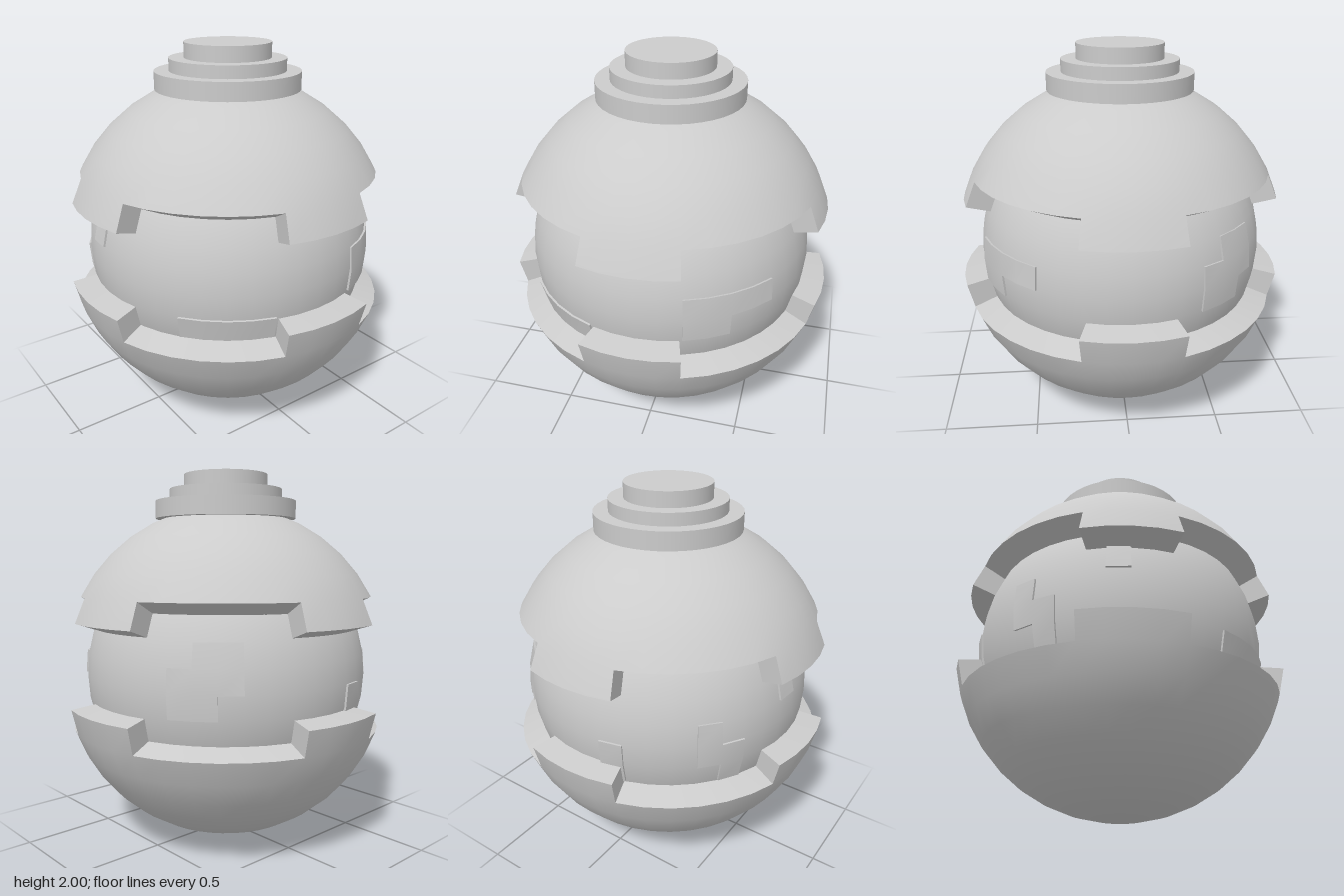
import * as THREE from 'three';
import { toCreasedNormals } from 'three/addons/utils/BufferGeometryUtils.js';

const material = new THREE.MeshStandardMaterial({ color: 0xcccccc, side: THREE.DoubleSide });
const STEP = 9; // degrees per facet

// point from azimuth (0 = front, growing to +x), latitude and radius
function polar(az, lat, r) {
  const a = THREE.MathUtils.degToRad(az), l = THREE.MathUtils.degToRad(lat);
  return new THREE.Vector3(r * Math.cos(l) * Math.sin(a), r * Math.sin(l), r * Math.cos(l) * Math.cos(a));
}

// adds a grid of quads; u x v is the outward side
function addGrid(out, nu, nv, fn) {
  const tri = (a, b, c) => {
    if (a.distanceTo(b) < 1e-5 || b.distanceTo(c) < 1e-5 || c.distanceTo(a) < 1e-5) return;
    for (const p of [a, b, c]) out.push(p.x, p.y, p.z);
  };
  for (let i = 0; i < nu; i++) {
    for (let j = 0; j < nv; j++) {
      const a = fn(i / nu, j / nv), b = fn((i + 1) / nu, j / nv);
      const c = fn((i + 1) / nu, (j + 1) / nv), d = fn(i / nu, (j + 1) / nv);
      tri(a, b, c);
      tri(a, c, d);
    }
  }
}

function makeMesh(name, geometry, y) {
  const mesh = new THREE.Mesh(geometry, material);
  mesh.name = name;
  mesh.position.y = y;
  return mesh;
}

function finish(positions) {
  const geometry = new THREE.BufferGeometry();
  geometry.setAttribute('position', new THREE.Float32BufferAttribute(positions, 3));
  return toCreasedNormals(geometry, 0.5);
}

const mix = THREE.MathUtils.lerp;

// bowl-shaped shell whose thick rim carries four tabs
function shellGeometry(notchLat, tabLat) {
  const out = [], R = 0.9, r = 0.73, half = 17;
  const skin = (a0, a1, n, l0, l1) => addGrid(out, n, Math.round((l1 - l0) / STEP),
    (u, v) => polar(mix(a0, a1, u), mix(l0, l1, v), R));
  const rim = (a0, a1, n, lat) => addGrid(out, 1, n,
    (u, v) => polar(mix(a0, a1, v), lat, mix(r, R, u)));
  for (let k = 0; k < 4; k++) {
    const a0 = k * 90 - half, a1 = k * 90 + half, a2 = (k + 1) * 90 - half;
    // tab
    skin(a0, a1, 4, -90, notchLat);
    skin(a0, a1, 4, notchLat, tabLat);
    rim(a0, a1, 4, tabLat);
    addGrid(out, 1, 1, (u, v) => polar(a1, mix(notchLat, tabLat, u), mix(r, R, v)));
    addGrid(out, 1, 1, (u, v) => polar(a0, mix(notchLat, tabLat, v), mix(r, R, u)));
    // notch
    skin(a1, a2, 6, -90, notchLat);
    rim(a1, a2, 6, notchLat);
  }
  return finish(out);
}

// thin raised panel made of [column, row] cells on the core
function panelGeometry(cells) {
  const out = [], r = 0.765, R = 0.786;
  const has = (c, w) => cells.some(([x, y]) => x === c && y === w);
  for (const [c, w] of cells) {
    const a0 = c * STEP, a1 = a0 + STEP, l0 = w * STEP, l1 = l0 + STEP;
    addGrid(out, 1, 1, (u, v) => polar(mix(a0, a1, u), mix(l0, l1, v), R));
    if (!has(c + 1, w)) addGrid(out, 1, 1, (u, v) => polar(a1, mix(l0, l1, u), mix(r, R, v)));
    if (!has(c - 1, w)) addGrid(out, 1, 1, (u, v) => polar(a0, mix(l0, l1, v), mix(r, R, u)));
    if (!has(c, w + 1)) addGrid(out, 1, 1, (u, v) => polar(mix(a0, a1, v), l1, mix(r, R, u)));
    if (!has(c, w - 1)) addGrid(out, 1, 1, (u, v) => polar(mix(a0, a1, u), l0, mix(r, R, v)));
  }
  return finish(out);
}

export function createModel() {
  const model = new THREE.Group();
  model.name = 'sphereDevice';

  // inner core
  const coreY = 0.915;
  model.add(makeMesh('core', new THREE.SphereGeometry(0.775, 40, 20), coreY));

  // raised panels on the core
  const panels = {
    frontPanel: [[2, 0], [3, 0], [4, 0], [5, 0], [2, -1], [3, -1]],
    backLeftPanel: [[14, 1], [15, 1], [13, 0], [14, 0], [15, 0], [13, -1], [14, -1]],
    backPanel: [[21, -1], [21, -2]],
    backRightPanel: [[25, 0], [25, -1], [26, -1], [26, -2]],
    sidePanel: [[29, 1], [29, 2]],
    frontRightPanel: [[34, -2], [35, -2], [36, -2], [37, -2]],
  };
  for (const [name, cells] of Object.entries(panels)) {
    model.add(makeMesh(name, panelGeometry(cells), coreY));
  }

  // notched shells, the upper one turned over
  model.add(makeMesh('lowerShell', shellGeometry(-18, -9), 0.9));
  const upper = makeMesh('upperShell', shellGeometry(-27, -18), 0.93);
  upper.rotation.x = Math.PI;
  model.add(upper);

  // stepped button on top: radius, bottom, top
  const steps = [[0.388, 1.76, 1.855], [0.31, 1.855, 1.92], [0.23, 1.92, 2]];
  steps.forEach(([radius, bottom, top], i) => {
    const disc = new THREE.CylinderGeometry(radius, radius, top - bottom, 40);
    model.add(makeMesh(`buttonStep${i + 1}`, disc, (bottom + top) / 2));
  });
  return model;
}
